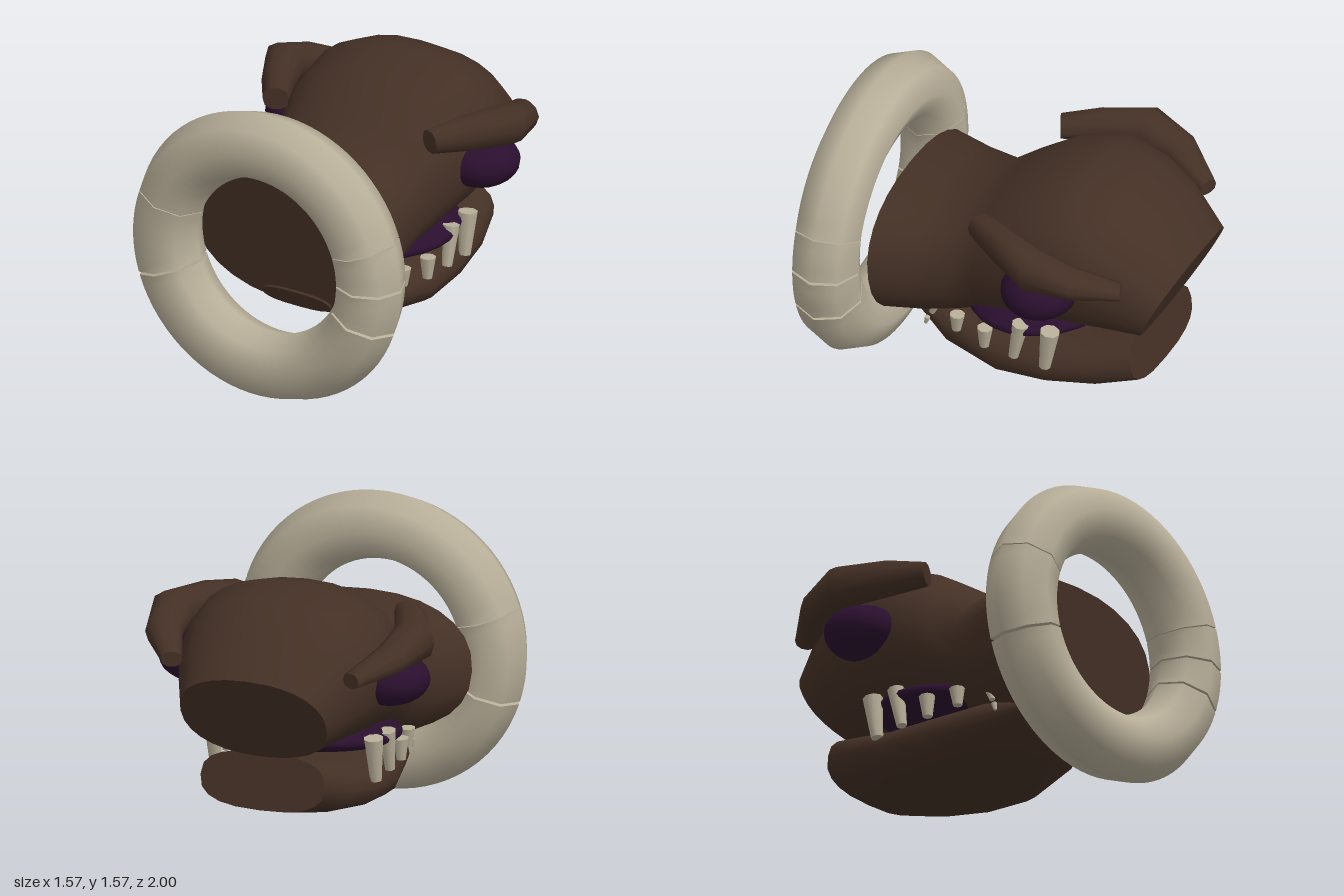
import * as THREE from 'three';

const V = (x, y, z) => new THREE.Vector3(x, y, z);

// Capped loft; every station has a centre c and two half axes a and b.
// e below 1 makes the section squarer.
function loft(stations, sides, e = 1) {
  const pos = [], idx = [];
  const pow = v => Math.sign(v) * Math.abs(v) ** e;
  const ring = s => {
    for (let j = 0; j < sides; j++) {
      const t = (j / sides) * Math.PI * 2;
      const p = s.c.clone().addScaledVector(s.a, pow(Math.cos(t))).addScaledVector(s.b, pow(Math.sin(t)));
      pos.push(p.x, p.y, p.z);
    }
  };
  stations.forEach(ring);
  for (let i = 0; i < stations.length - 1; i++) {
    for (let j = 0; j < sides; j++) {
      const k = (j + 1) % sides, p = i * sides, q = p + sides;
      idx.push(p + j, q + j, p + k, p + k, q + j, q + k);
    }
  }
  // Separate cap vertices keep the end edges sharp
  [stations[0], stations[stations.length - 1]].forEach((s, end) => {
    const base = pos.length / 3;
    ring(s);
    pos.push(s.c.x, s.c.y, s.c.z);
    for (let j = 0; j < sides; j++) {
      const k = (j + 1) % sides;
      idx.push(base + sides, base + (end ? k : j), base + (end ? j : k));
    }
  });
  const g = new THREE.BufferGeometry();
  g.setAttribute('position', new THREE.Float32BufferAttribute(pos, 3));
  g.setIndex(idx);
  g.computeVertexNormals();
  return g;
}

// Station from top z, y, bottom z, y and half width
function slice([zt, yt, zb, yb, hw]) {
  return {
    c: V(0, (yt + yb) / 2, (zt + zb) / 2),
    a: V(hw, 0, 0),
    b: V(0, (yt - yb) / 2, (zt - zb) / 2),
  };
}

export function createModel() {
  const model = new THREE.Group();
  const mat = (name, color) => new THREE.MeshStandardMaterial({ name, color });
  const hide = mat('dark brown', 0x443025);
  const bone = mat('bone', 0xb8af99);
  const purple = mat('dark purple', 0x2a0f2e);
  const add = (name, geo, material, parent = model) => {
    const m = new THREE.Mesh(geo, material);
    m.name = name;
    parent.add(m);
    return m;
  };

  // Neck and upper head in one skin
  add('headAndNeck', loft([
    [0.64, 1.11, 0.55, 0.40, 0.58],
    [0.40, 1.12, 0.38, 0.40, 0.50],
    [0.20, 1.135, 0.20, 0.45, 0.445],
    [0.05, 1.25, 0.08, 0.51, 0.47],
    [-0.18, 1.40, -0.12, 0.57, 0.53],
    [-0.42, 1.46, -0.35, 0.60, 0.55],
    [-0.62, 1.40, -0.50, 0.62, 0.53],
    [-0.80, 1.29, -0.64, 0.63, 0.48],
    [-1.00, 1.09, -0.78, 0.63, 0.40],
  ].map(slice), 28, 0.88), hide);

  // Lower jaw
  add('lowerJaw', loft([
    [0.58, 0.48, 0.55, 0.39, 0.20],
    [0.30, 0.50, 0.25, 0.27, 0.37],
    [0.00, 0.50, -0.07, 0.22, 0.44],
    [-0.30, 0.52, -0.33, 0.245, 0.44],
    [-0.55, 0.58, -0.58, 0.29, 0.41],
    [-0.74, 0.64, -0.80, 0.35, 0.34],
  ].map(slice), 20, 0.75), hide);

  // Mouth interior
  const mouth = add('mouthInterior', new THREE.SphereGeometry(1, 28, 16), purple);
  mouth.scale.set(0.48, 0.09, 0.41);
  mouth.position.set(0, 0.61, -0.145);
  mouth.rotation.x = 0.07;

  // Brow: centre x, y, z, half width, its z lean, half height
  const browGeo = loft([
    [0.46, 1.22, 0.03, 0.06, 0.03, 0.06],
    [0.555, 1.22, -0.14, 0.085, 0.02, 0.09],
    [0.66, 1.205, -0.37, 0.115, 0, 0.105],
    [0.62, 1.16, -0.58, 0.09, -0.03, 0.075],
    [0.49, 1.09, -0.79, 0.05, -0.02, 0.04],
  ].map(([x, y, z, w, lean, h]) => ({ c: V(x, y, z), a: V(w, 0, lean), b: V(0, h, 0) })), 10, 0.85);

  // Teeth: top z, top y, bottom z, bottom y, top radius, x
  const teeth = [
    [0.38, 0.43, 0.39, 0.39, 0.015, 0.34],
    [0.34, 0.52, 0.36, 0.46, 0.025, 0.33],
    [0.18, 0.555, 0.185, 0.46, 0.04, 0.40],
    [0.005, 0.555, 0.01, 0.44, 0.042, 0.435],
    [-0.20, 0.655, -0.16, 0.44, 0.045, 0.445],
    [-0.365, 0.66, -0.335, 0.43, 0.052, 0.44],
  ];

  for (const side of [1, -1]) {
    const half = new THREE.Group();
    half.name = side > 0 ? 'leftFace' : 'rightFace';
    half.scale.x = side;
    model.add(half);
    add('brow', browGeo, hide, half);
    const eye = add('eye', new THREE.SphereGeometry(1, 20, 14), purple, half);
    eye.scale.set(0.21, 0.135, 0.2);
    eye.position.set(0.52, 0.985, -0.35);
    for (const [zt, yt, zb, yb, r, x] of teeth) {
      const top = V(x, yt, zt), bottom = V(x, yb, zb);
      const dir = top.clone().sub(bottom);
      const tooth = add('tooth', new THREE.CylinderGeometry(r, r * 0.6, dir.length(), 8), bone, half);
      tooth.position.copy(top).add(bottom).multiplyScalar(0.5);
      tooth.quaternion.setFromUnitVectors(V(0, 1, 0), dir.normalize());
    }
  }

  // Ring collar in five arcs with narrow gaps (degrees)
  const collar = new THREE.Group();
  collar.name = 'ringCollar';
  collar.position.set(0, 0.79, 0.82);
  model.add(collar);
  for (const [from, to] of [[18.6, 161.4], [161.9, 197.8], [199, 340.6], [342, 359.4], [0.6, 18]]) {
    const n = Math.ceil((to - from) / 5);
    const stations = Array.from({ length: n + 1 }, (_, i) => {
      const t = THREE.MathUtils.degToRad(from + ((to - from) * i) / n);
      const out = V(Math.cos(t), Math.sin(t), 0);
      return { c: out.clone().multiplyScalar(0.607), a: out.multiplyScalar(0.18), b: V(0, 0, 0.18) };
    });
    add('collarSegment', loft(stations, 8), bone, collar);
  }
  return model;
}
